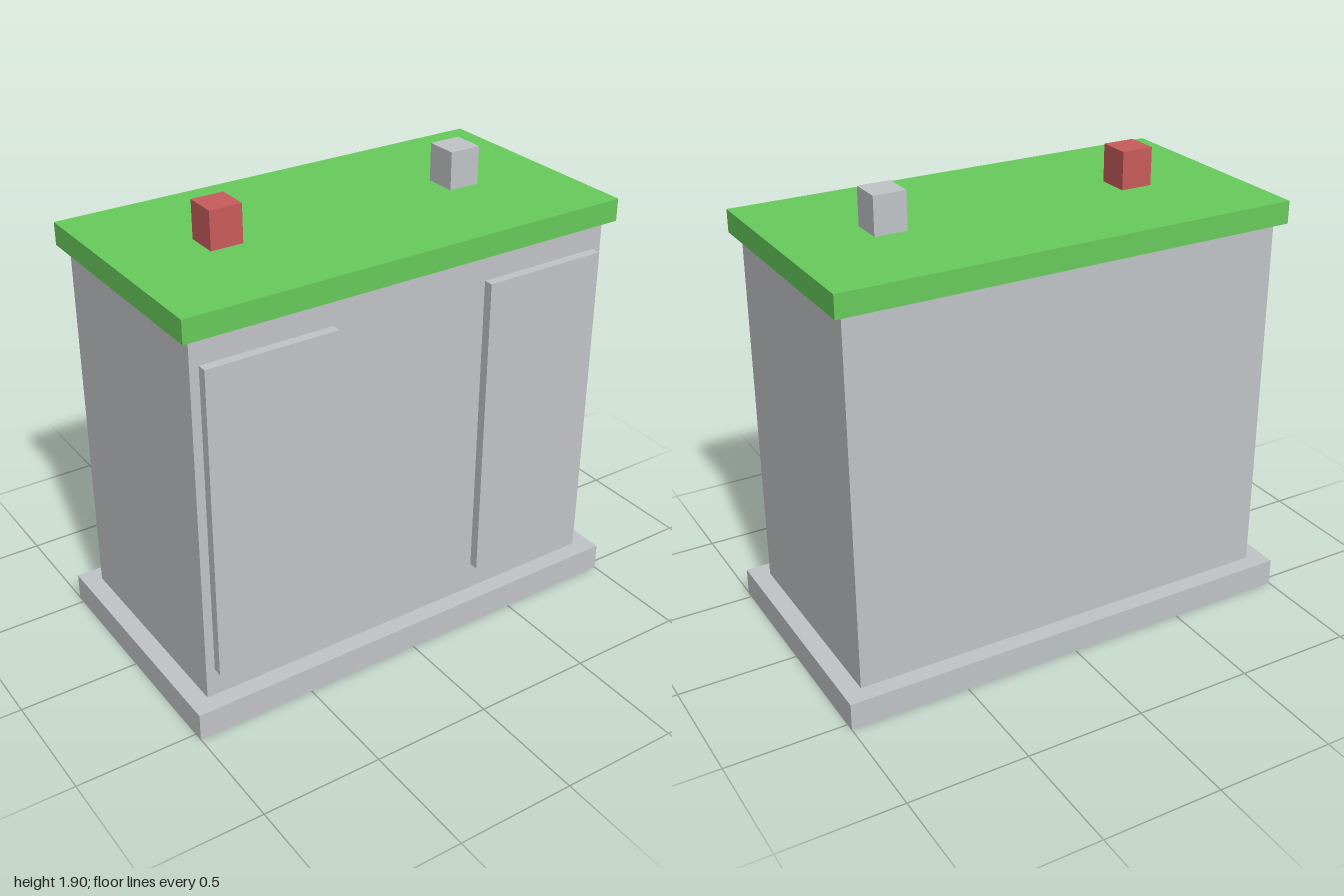
import * as THREE from 'three';

const makeMaterial = (name, color) => {
  const m = new THREE.MeshStandardMaterial({ color });
  m.name = name;
  return m;
};

export function createModel() {
  const grey = makeMaterial('light grey', 0xc2c5c8);
  const green = makeMaterial('green', 0x68cc5c);
  const red = makeMaterial('red', 0xc95c5c);
  const model = new THREE.Group();
  model.name = 'cabinet';

  // Box given by its centre in x and z, its bottom height and its size
  const addBox = (name, material, [w, h, d], x, bottom, z) => {
    const mesh = new THREE.Mesh(new THREE.BoxGeometry(w, h, d), material);
    mesh.name = name;
    mesh.position.set(x, bottom + h / 2, z);
    model.add(mesh);
  };

  // Plinth, body and overhanging lid
  addBox('plinth', grey, [2, 0.115, 1.072], 0, 0, 0);
  addBox('body', grey, [1.846, 1.54, 0.923], 0, 0.115, 0);
  addBox('lid', green, [1.923, 0.093, 1.0], 0, 1.655, 0);

  // Raised door panels and lid terminals, one on each side
  for (const [side, sign, terminalColour] of [['right', -1, red], ['left', 1, grey]]) {
    addBox(`${side}DoorPanel`, grey, [0.542, 1.305, 0.04], sign * 0.615, 0.235, 0.481);
    addBox(`${side}Terminal`, terminalColour, [0.135, 0.156, 0.135], sign * 0.54, 1.748, 0);
  }
  return model;
}
